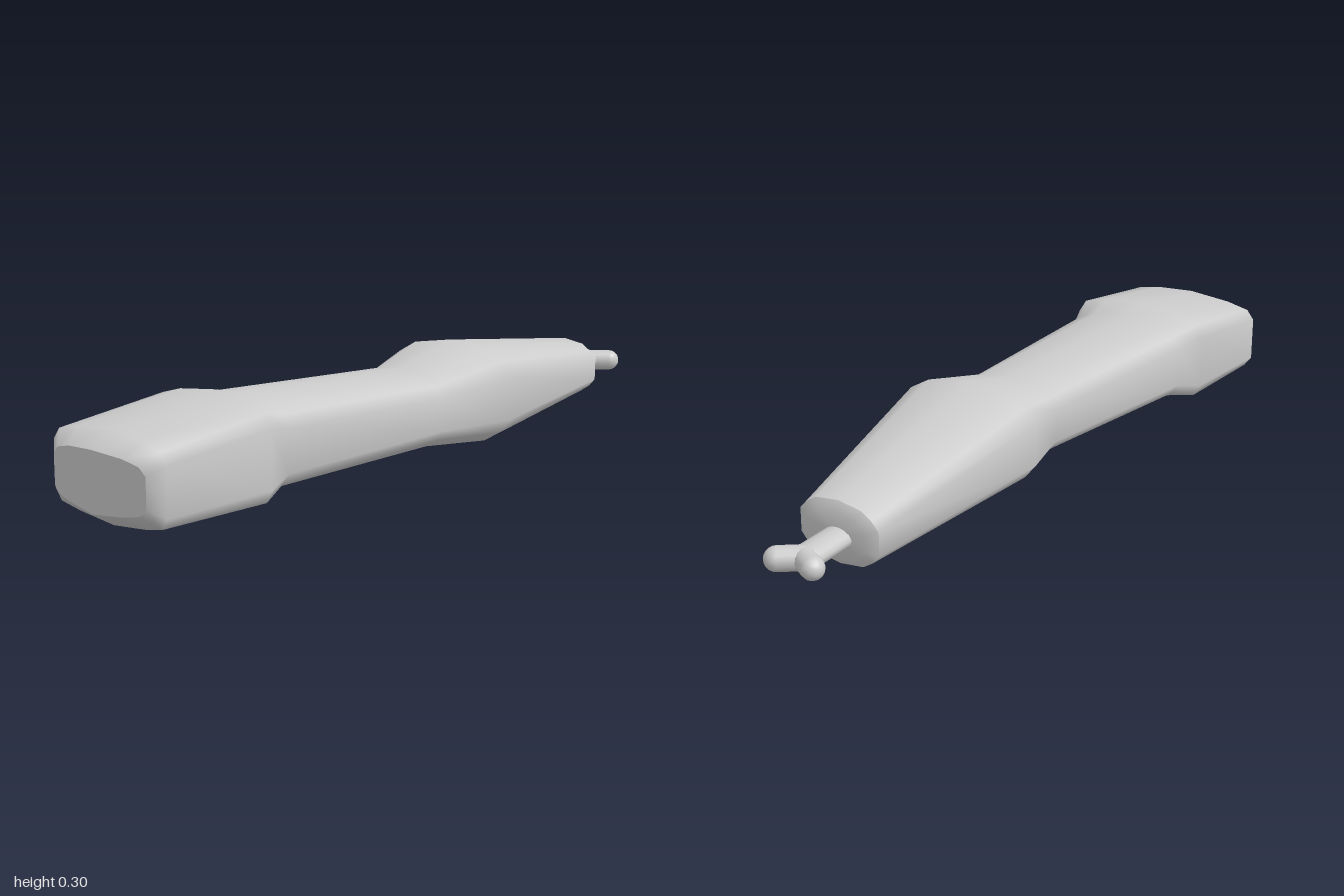
import * as THREE from 'three';

// Half of a unit cross-section [z, y], from top to bottom: oval and boxy versions
const OVAL = [[0, 1], [0.58, 0.88], [0.83, 0.65], [1, 0.38], [1, -0.38], [0.83, -0.65], [0.58, -0.88], [0, -1]];
const BOXY = [[0, 1], [0.58, 0.9], [0.9, 0.77], [1, 0.53], [1, -0.53], [0.9, -0.77], [0.58, -0.88], [0, -1]];

const material = new THREE.MeshStandardMaterial({ color: 0xcccccc });

// Ring of points; bow shifts x by |z|, skew shifts x by z
function ring({ x, y, z, box = 0.2, bow = 0, skew = 0 }, scale = 1) {
  const half = OVAL.map(([oz, oy], i) => [
    THREE.MathUtils.lerp(oz, BOXY[i][0], box),
    THREE.MathUtils.lerp(oy, BOXY[i][1], box),
  ]);
  const loop = [...half, ...half.slice(1, -1).reverse().map(([a, b]) => [-a, b])];
  const cy = (y[0] + y[1]) / 2, ry = (y[1] - y[0]) / 2;
  const cz = (z[0] + z[1]) / 2, rz = (z[1] - z[0]) / 2;
  return loop.map(([a, b]) => [
    x + scale * (bow * Math.abs(a) + skew * a), cy + ry * b * scale, cz + rz * a * scale,
  ]);
}

// Smooth skin through rings ordered by increasing x
function loft(name, rings) {
  const n = rings[0].length, index = [];
  for (let i = 0; i < rings.length - 1; i++) {
    for (let j = 0; j < n; j++) {
      const k = (j + 1) % n;
      const a = i * n + j, b = a + n, c = (i + 1) * n + k, d = i * n + k;
      index.push(a, d, c, a, c, b);
    }
  }
  const geometry = new THREE.BufferGeometry();
  geometry.setAttribute('position', new THREE.Float32BufferAttribute(rings.flat(2), 3));
  geometry.setIndex(index);
  geometry.computeVertexNormals();
  const mesh = new THREE.Mesh(geometry, material);
  mesh.name = name;
  return mesh;
}

// Capsule between two points, flattened or not in y
function capsule(name, from, to, radius, flatten = 1) {
  const a = new THREE.Vector3(...from), b = new THREE.Vector3(...to);
  const dir = b.clone().sub(a);
  const geometry = new THREE.CapsuleGeometry(radius, dir.length(), 5, 14);
  geometry.applyQuaternion(new THREE.Quaternion().setFromUnitVectors(new THREE.Vector3(0, 1, 0), dir.normalize()));
  geometry.scale(1, flatten, 1);
  const mesh = new THREE.Mesh(geometry, material);
  mesh.position.copy(a.add(b).multiplyScalar(0.5));
  mesh.name = name;
  return mesh;
}

export function createModel() {
  const group = new THREE.Group();
  group.name = 'limb';

  // Fleshy body, from the blunt end to the narrow end
  const sections = [
    { x: -1, y: [0.04, 0.19], z: [-0.17, 0.17], box: 0.8, bow: 0.02 },
    { x: -0.94, y: [0.003, 0.23], z: [-0.21, 0.205], box: 1, bow: -0.01 },
    { x: -0.64, y: [0, 0.277], z: [-0.21, 0.205], box: 1 },
    { x: -0.56, y: [0.02, 0.26], z: [-0.183, 0.175], box: 0.5 },
    { x: 0, y: [0.035, 0.248], z: [-0.14, 0.157] },
    { x: 0.19, y: [0.016, 0.298], z: [-0.187, 0.195], skew: 0.03 },
    { x: 0.795, y: [0.061, 0.221], z: [-0.198, 0.035], box: 0 },
  ];
  group.add(loft('body', sections.map((s) => ring(s))));

  // Blunt end face, creased along a vertical ridge
  group.add(loft('bluntEnd', [ring(sections[0], 0), ring(sections[0])]));

  // Slightly domed face around the bone
  const last = sections[sections.length - 1];
  group.add(loft('cutFace', [
    ring(last),
    ring({ ...last, x: 0.812 }, 0.72),
    ring({ ...last, x: 0.813 }, 0),
  ]));

  // Protruding bone: flat shaft with two knobs
  const bone = new THREE.Group();
  bone.name = 'bone';
  bone.add(
    capsule('shaft', [0.76, 0.137, -0.088], [0.92, 0.137, -0.098], 0.041, 0.62),
    capsule('backKnob', [0.935, 0.136, -0.1], [0.958, 0.136, -0.143], 0.029),
    capsule('frontKnob', [0.935, 0.136, -0.09], [0.97, 0.136, -0.048], 0.03),
  );
  group.add(bone);
  return group;
}
